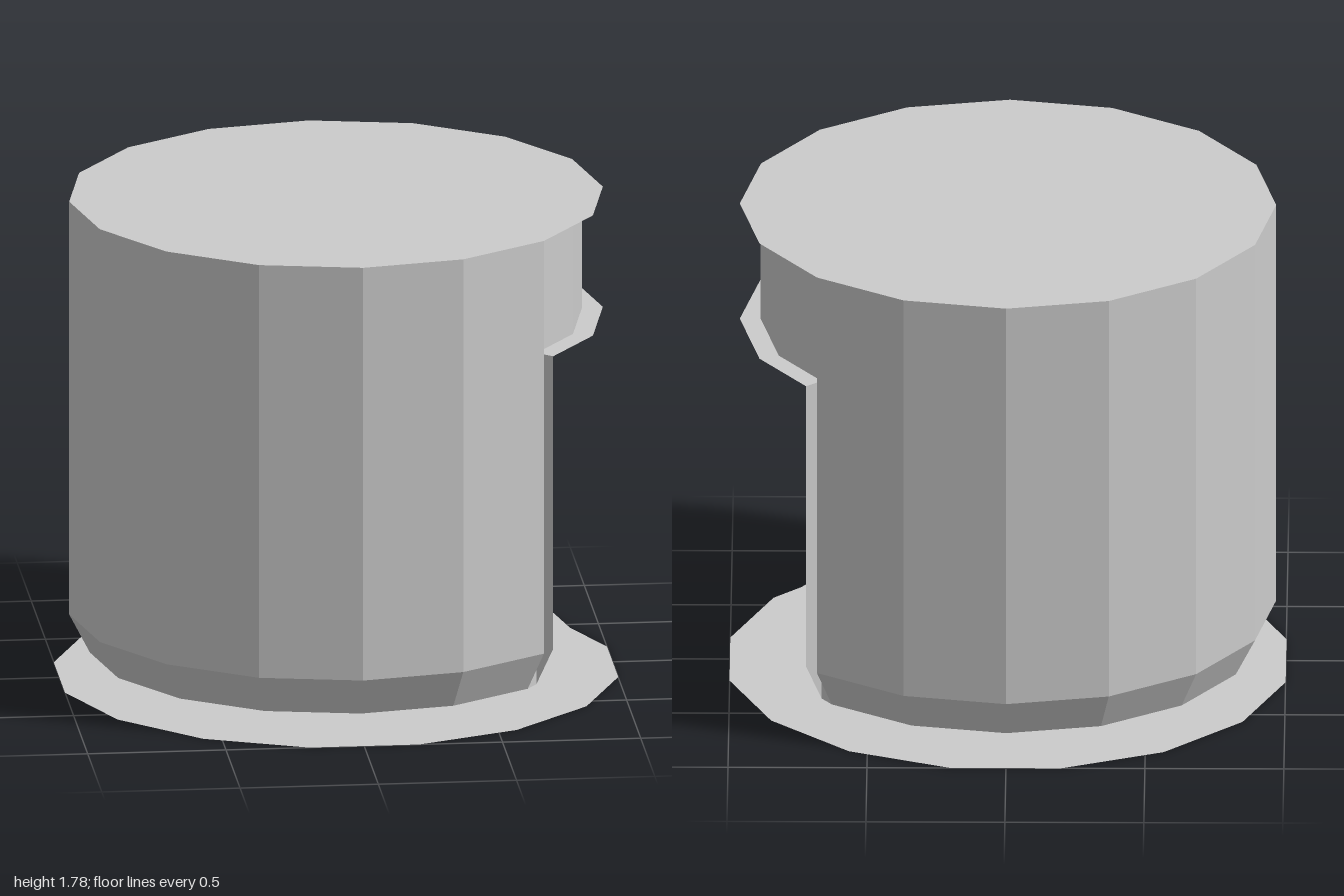
import * as THREE from 'three';

const STEP = Math.PI / 8;              // one facet of the sixteen-sided body
const OUTER = 0.965, INNER = 0.89;     // corner radii of wall and recess
const BOTTOM = 0.09, BEVEL = 0.235, LINTEL = 1.33, TOP = 1.78;
const FRAME = 1.81;                    // frame position, in facets from +x

const flat = new THREE.MeshStandardMaterial({ color: 0xcccccc, flatShading: true, side: THREE.DoubleSide });
const smooth = new THREE.MeshStandardMaterial({ color: 0xcccccc, side: THREE.DoubleSide });

// Point on a sixteen-sided ring, u facets away from +x towards +z
function ringPoint(radius, u, y) {
  const k = Math.floor(u);
  const corner = (i) => new THREE.Vector3(radius * Math.cos(i * STEP), y, radius * Math.sin(i * STEP));
  return corner(k).lerp(corner(k + 1), u - k);
}

// Thin sheet joining two rows of points
function sheet(rowA, rowB) {
  const index = [], n = rowA.length;
  for (let i = 0; i < n - 1; i++) index.push(i, n + i, i + 1, i + 1, n + i, n + i + 1);
  const geometry = new THREE.BufferGeometry().setFromPoints([...rowA, ...rowB]);
  geometry.setIndex(index);
  geometry.computeVertexNormals();
  return geometry;
}

export function createModel() {
  const model = new THREE.Group();
  const add = (name, geometry, material = flat) => {
    const mesh = new THREE.Mesh(geometry, material);
    mesh.name = name;
    model.add(mesh);
    return mesh;
  };
  const disc = (name, radius, y, turn = 0) =>
    add(name, new THREE.CircleGeometry(radius, 16).rotateZ(turn).rotateX(-Math.PI / 2).translate(0, y, 0));

  // Flat discs: base, floor and lid
  disc('base', 1.02, 0, STEP / 2);
  disc('floor', INNER, BOTTOM);
  disc('lid', OUTER, TOP);

  // Three-quarter wall with a bevelled foot, open towards +x
  const profile = [[INNER, BOTTOM], [OUTER, BEVEL], [OUTER, TOP]].map(([r, y]) => new THREE.Vector2(r, y));
  add('outerWall', new THREE.LatheGeometry(profile, 12, Math.PI * 0.75, Math.PI * 1.5));

  // Recessed band above the opening, and the shelf under it
  const band = [-2, -1, 0, 1, 2];
  add('recessedBand', sheet(band.map((u) => ringPoint(INNER, u, LINTEL)), band.map((u) => ringPoint(INNER, u, TOP))));
  const lintel = [-FRAME, -1, 0, 1, FRAME];
  add('openingLintel', sheet(lintel.map((u) => ringPoint(INNER, u, LINTEL)), lintel.map((u) => ringPoint(OUTER, u, LINTEL))));

  // Radial sheet following the bevelled profile
  const radial = (u, top) => {
    const heights = [BOTTOM, BEVEL, top];
    return sheet(heights.map((y) => ringPoint(INNER, u, y)),
      heights.map((y, i) => ringPoint(i ? OUTER : INNER, u, y)));
  };

  // Both sides of the opening
  for (const s of [-1, 1]) {
    add('wallEnd', radial(2 * s, TOP));
    add('openingJamb', radial(FRAME * s, LINTEL));
    add('recessedStrip', sheet([2 * s, FRAME * s].map((u) => ringPoint(INNER, u, BOTTOM)),
      [2 * s, FRAME * s].map((u) => ringPoint(INNER, u, LINTEL))));
  }

  // Round rail along the inside of the wall, with closed ends
  const railRadius = 0.88, railY = 0.58;
  add('innerRail', new THREE.TorusGeometry(railRadius, 0.03, 12, 12, Math.PI * 1.5)
    .rotateZ(Math.PI / 4).rotateX(Math.PI / 2).translate(0, railY, 0), smooth);
  for (const s of [-1, 1]) {
    const cap = add('railEnd', new THREE.CircleGeometry(0.03, 12));
    cap.position.copy(ringPoint(railRadius, 2 * s, railY));
    cap.rotation.y = Math.PI / 2 + s * Math.PI / 4;
  }
  return model;
}
